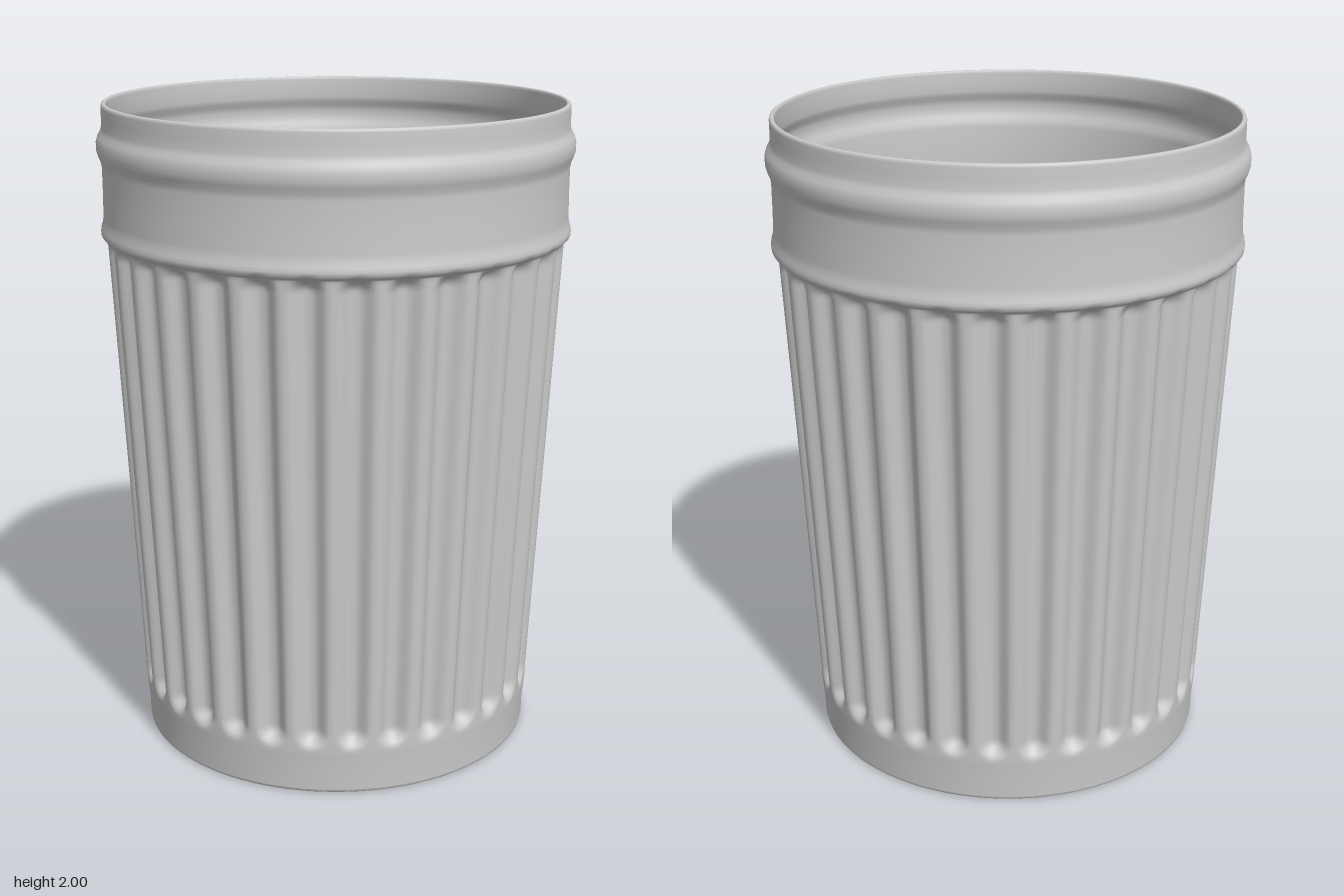
import * as THREE from 'three';

const FLUTES = 32;
const PER_FLUTE = 12;
const SEG = FLUTES * PER_FLUTE;
const PHASE = 0.047; // angle of the first flute
const WALL = 0.016;
const FLOOR = 0.02;

// 1 in the middle of a flute, 0 on the ridges, with rounded ends
function fluteDepth(angle, y) {
  const t = ((angle - PHASE) / (Math.PI * 2)) * FLUTES;
  const u = 2 * Math.abs(t - Math.round(t));
  const v = Math.max(0, y - 1.555, 0.2 - y) / 0.065;
  return 1 - THREE.MathUtils.smoothstep(Math.hypot(u, v), 0.15, 0.85);
}

// Outer profile [radius, height] from the foot to the rim
function outerProfile() {
  const p = [[0.612, 0], [0.617, 0.004], [0.619, 0.012], [0.62, 0.06]];
  const side = (y) => p.push([0.62 + 0.08 * (y / 1.6), y]);
  for (let y = 0.13; y < 0.215; y += 0.01) side(y);
  for (let y = 0.4; y < 1.5; y += 0.2) side(y);
  for (let y = 1.54; y < 1.595; y += 0.01) side(y);
  // collar with a lower bead and an upper bead
  const collar = [
    [0.702, 1.595], [0.711, 1.6], [0.717, 1.608], [0.718, 1.618], [0.716, 1.63],
    [0.711, 1.645], [0.709, 1.665], [0.708, 1.74], [0.708, 1.81], [0.711, 1.828],
    [0.718, 1.845], [0.723, 1.862], [0.723, 1.885], [0.718, 1.902], [0.71, 1.915],
    [0.706, 1.93], [0.705, 1.96], [0.705, 1.99], [0.703, 1.997], [0.699, 2],
  ];
  return p.concat(collar);
}

// Skins rings of [radius, height] rows around the y axis
function skin(rows) {
  const pos = [], index = [];
  for (const [r, y] of rows) {
    for (let i = 0; i < SEG; i++) {
      const a = (i / SEG) * Math.PI * 2;
      const R = r - 0.032 * fluteDepth(a, y);
      pos.push(R * Math.cos(a), y, R * Math.sin(a));
    }
  }
  for (let j = 0; j < rows.length - 1; j++) {
    for (let i = 0; i < SEG; i++) {
      const k = (i + 1) % SEG;
      const a = j * SEG + i, b = j * SEG + k, c = a + SEG, d = b + SEG;
      index.push(a, c, b, b, c, d);
    }
  }
  const g = new THREE.BufferGeometry();
  g.setAttribute('position', new THREE.Float32BufferAttribute(pos, 3));
  g.setIndex(index);
  g.computeVertexNormals();
  return g;
}

export function createModel() {
  const group = new THREE.Group();
  const material = new THREE.MeshStandardMaterial({ color: 0xcccccc });
  const add = (name, geometry) => {
    const mesh = new THREE.Mesh(geometry, material);
    mesh.name = name;
    group.add(mesh);
    return mesh;
  };

  // fluted wall: up the outside, over the rim, down the inside
  const outer = outerProfile();
  const inner = outer
    .filter(([, y]) => y > FLOOR && y < 1.995)
    .map(([r, y]) => [r - WALL, y])
    .reverse();
  const rim = [[0.693, 2], [0.69, 1.997]];
  add('flutedWall', skin([...outer, ...rim, ...inner, [0.62 - WALL, FLOOR]]));

  // floor inside and flat underside
  const floor = add('floor', new THREE.CircleGeometry(0.61, 128));
  floor.rotation.x = -Math.PI / 2;
  floor.position.y = FLOOR;
  const underside = add('underside', new THREE.CircleGeometry(0.612, SEG));
  underside.rotation.x = Math.PI / 2;

  return group;
}
